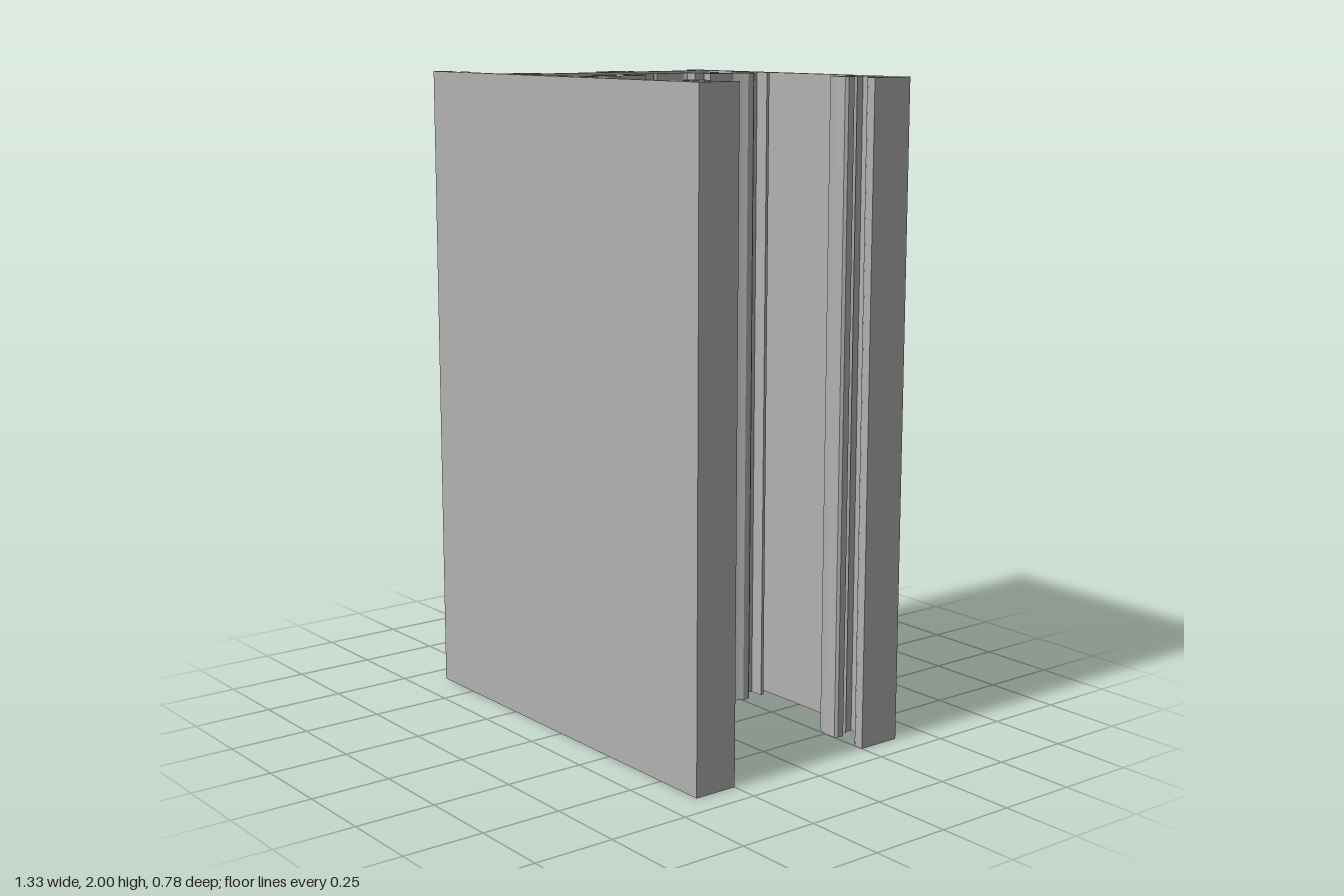
import * as THREE from 'three';

const HEIGHT = 2;

export function createModel() {
  const aluminium = new THREE.MeshStandardMaterial({ color: 0xb2b2b2 });
  aluminium.name = 'grey aluminium';
  const model = new THREE.Group();
  model.name = 'windowFrameProfile';

  // Upright prism from a plan outline of [x, z] points; side = -1 mirrors it to the back
  const prism = (name, points, side = 1) => {
    const shape = new THREE.Shape(points.map(([x, z]) => new THREE.Vector2(x, -z * side)));
    const geometry = new THREE.ExtrudeGeometry(shape, { depth: HEIGHT, bevelEnabled: false });
    geometry.rotateX(-Math.PI / 2);
    const mesh = new THREE.Mesh(geometry, aluminium);
    mesh.name = name;
    model.add(mesh);
  };
  const slab = (name, x0, x1, z0, z1) => prism(name, [[x0, z0], [x1, z0], [x1, z1], [x0, z1]]);

  // Main walls and the web joining them
  slab('frontWall', -0.665, 0.665, 0.367, 0.39);
  slab('backWall', -0.322, 0.665, -0.39, -0.367);
  slab('crossWeb', -0.245, -0.221, -0.367, 0.367);

  // Parts that repeat on the front and back walls
  for (const [label, side] of [['front', 1], ['back', -1]]) {
    // Turned-in end with two lips
    prism(label + 'EndLip', [
      [0.665, 0.367], [0.665, 0.25], [0.638, 0.25], [0.626, 0.257], [0.626, 0.28],
      [0.644, 0.28], [0.644, 0.332], [0.626, 0.332], [0.626, 0.355], [0.636, 0.367],
    ], side);

    // Barbed post facing the end lip
    prism(label + 'GasketPost', [
      [0.503, 0.367], [0.54, 0.367], [0.55, 0.358], [0.55, 0.334], [0.528, 0.334],
      [0.528, 0.311], [0.534, 0.306], [0.528, 0.3], [0.528, 0.28], [0.55, 0.28],
      [0.55, 0.258], [0.543, 0.25], [0.5, 0.25], [0.464, 0.264], [0.464, 0.281],
      [0.512, 0.281], [0.512, 0.326], [0.464, 0.326], [0.464, 0.335],
    ], side);

    slab(label + 'Stub', -0.053, -0.029, side * 0.322, side * 0.367);

    // Barbed arm, screw channel and half of the inner bridge
    prism(label + 'BridgeArm', [
      [0.036, 0.367], [0.06, 0.367], [0.108, 0.338], [0.108, 0.328], [0.062, 0.328],
      [0.062, 0.282], [0.102, 0.282], [0.108, 0.275], [0.108, 0.253], [0.1, 0.24],
      [0.086, 0.212], [0.086, 0.123], [0.056, 0.123], [0.056, 0.16], [0.007, 0.16],
      [0.007, 0.125], [-0.012, 0.125], [-0.023, 0.12], [-0.029, 0.109], [-0.029, 0.007],
      [-0.034, 0], [-0.053, 0], [-0.053, 0.118], [-0.046, 0.134], [-0.033, 0.143],
      [-0.014, 0.147], [-0.012, 0.166], [-0.03, 0.178], [-0.043, 0.195], [-0.046, 0.215],
      [-0.046, 0.236], [-0.036, 0.248], [-0.023, 0.246], [-0.018, 0.235], [-0.02, 0.213],
      [-0.012, 0.198], [0.004, 0.189], [0.026, 0.188], [0.041, 0.197], [0.05, 0.214],
      [0.05, 0.243], [0.028, 0.249], [0.018, 0.26], [0.02, 0.27], [0.036, 0.282],
    ], side);
  }

  // Hooked edge of the back wall
  prism('backEdgeHook', [
    [-0.322, -0.367], [-0.322, -0.357], [-0.3, -0.34], [-0.292, -0.344], [-0.292, -0.367],
  ]);

  // Tee flange standing off the web
  prism('middleFlange', [
    [-0.245, -0.09], [-0.292, -0.09], [-0.292, -0.12], [-0.302, -0.12], [-0.322, -0.106],
    [-0.322, 0.006], [-0.313, 0.013], [-0.303, 0.013], [-0.303, -0.065], [-0.245, -0.065],
  ]);

  // Fin on the front wall, with filleted pocket beside the web
  prism('frontFin', [
    [-0.322, 0.367], [-0.322, 0.24], [-0.313, 0.229], [-0.303, 0.229], [-0.303, 0.355],
    [-0.294, 0.366], [-0.256, 0.366], [-0.245, 0.355], [-0.245, 0.367],
  ]);

  // Gasket track along the long front edge
  prism('outerTrackHook', [
    [-0.665, 0.367], [-0.665, 0.336], [-0.64, 0.336], [-0.631, 0.341], [-0.634, 0.348],
    [-0.65, 0.348], [-0.65, 0.36], [-0.643, 0.367],
  ]);
  prism('innerTrackTee', [
    [-0.565, 0.367], [-0.56, 0.36], [-0.56, 0.348], [-0.575, 0.348], [-0.581, 0.341],
    [-0.573, 0.336], [-0.532, 0.336], [-0.525, 0.341], [-0.532, 0.347], [-0.545, 0.352],
    [-0.545, 0.367],
  ]);

  return model;
}
